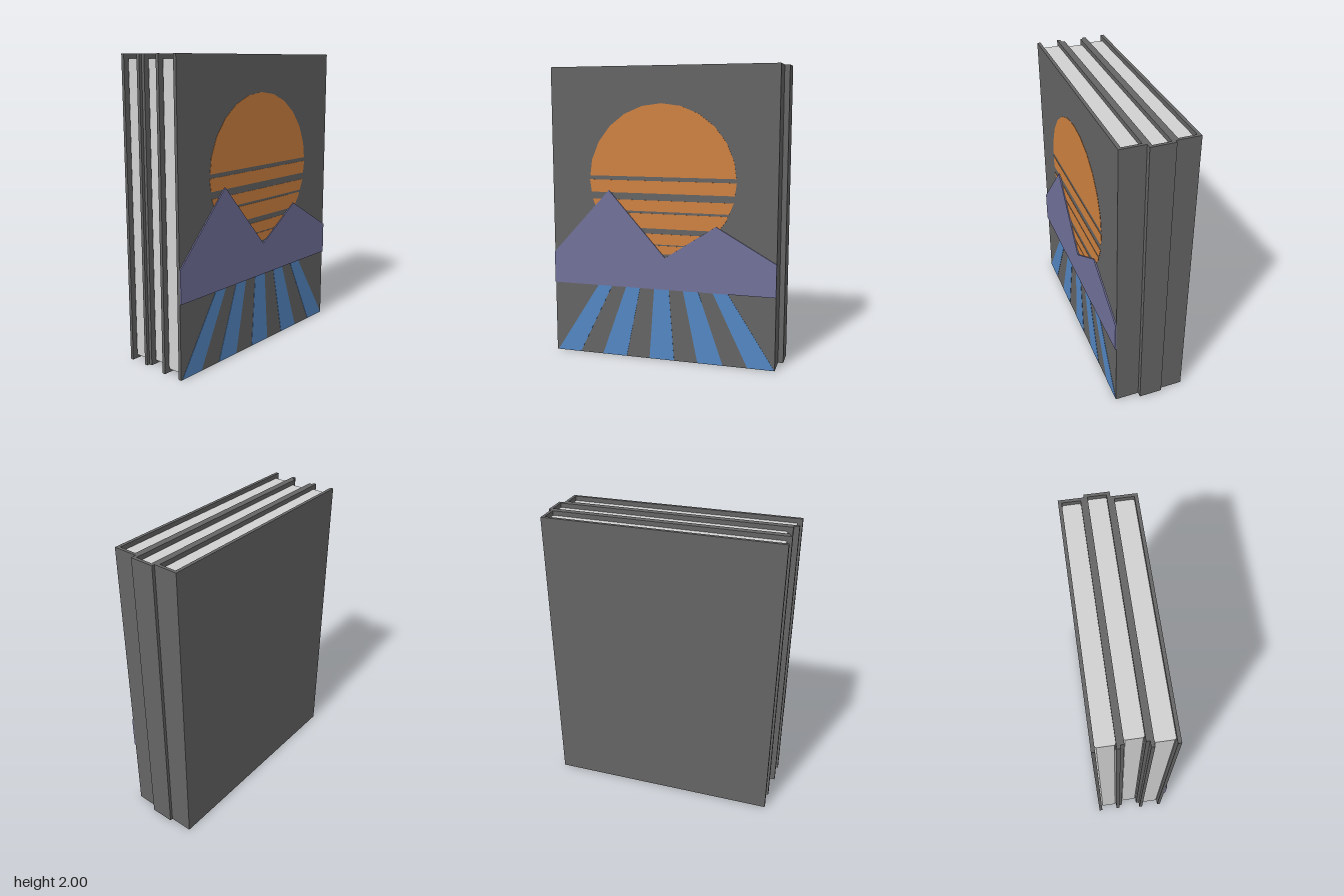
import * as THREE from 'three';

const mat = (name, color) => {
  const m = new THREE.MeshStandardMaterial({ color });
  m.name = name;
  return m;
};

const HEIGHT = 2, BOARD = 0.022, RECESS = 0.03, WIDTH = 1.57;

// Outline [x, y] pushed forward into a thin plate starting at z
function plate(name, points, z, depth, material) {
  const shape = new THREE.Shape(points.map(([x, y]) => new THREE.Vector2(x, y)));
  const geo = new THREE.ExtrudeGeometry(shape, { depth, bevelEnabled: false });
  const mesh = new THREE.Mesh(geo, material);
  mesh.name = name;
  mesh.position.z = z;
  return mesh;
}

// Outline in plan (symmetric in z) raised upwards from y
function upright(name, points, y, height, material) {
  const mesh = plate(name, points, 0, height, material);
  mesh.geometry.rotateX(-Math.PI / 2);
  mesh.position.y = y;
  return mesh;
}

// Hard cover with a spine on +x, and a recessed page block
function book(name, right, back, front, cover, paper) {
  const g = new THREE.Group();
  g.name = name;
  const h = (front - back) / 2, i = h - BOARD, left = -WIDTH, inner = -0.02;
  g.add(upright('cover', [
    [left, -h], [0, -h], [0, h], [left, h],
    [left, i], [inner, i], [inner, -i], [left, -i],
  ], 0, HEIGHT, cover));
  const c = 0.008, pageLeft = left + 0.03;
  g.add(upright('pages', [
    [pageLeft + c, -i], [inner - c, -i], [inner, -i + c], [inner, i - c],
    [inner - c, i], [pageLeft + c, i], [pageLeft, i - c], [pageLeft, -i + c],
  ], RECESS, HEIGHT - 2 * RECESS, paper));
  g.position.set(right, 0, (front + back) / 2);
  return g;
}

// Horizontal slice of a 24-sided disc
function discSlice(cx, cy, r, low, high) {
  const ring = [];
  for (let k = 0; k <= 12; k++) {
    const a = -Math.PI / 2 + (k * Math.PI) / 12;
    ring.push([r * Math.cos(a), cy + r * Math.sin(a)]);
  }
  const halfWidth = (y) => {
    for (let k = 0; k < 12; k++) {
      const [x0, y0] = ring[k], [x1, y1] = ring[k + 1];
      if (y >= y0 && y <= y1) return x0 + ((x1 - x0) * (y - y0)) / (y1 - y0);
    }
    return 0;
  };
  const side = [[halfWidth(low), low]];
  for (const p of ring) if (p[1] > low + 1e-4 && p[1] < high - 1e-4) side.push(p);
  if (high < cy + r) side.push([halfWidth(high), high]);
  else side.push([0, cy + r]);
  const mirrored = side.slice().reverse().filter(([x]) => x > 1e-4).map(([x, y]) => [-x, y]);
  return [...side, ...mirrored].map(([x, y]) => [x + cx, y]);
}

export function createModel() {
  const cover = mat('cover grey', 0x656565);
  const paper = mat('paper', 0xd2d2d2);
  const orange = mat('sun orange', 0xd18341);
  const purple = mat('mountain purple', 0x72729c);
  const blue = mat('ray blue', 0x5488c5);

  const model = new THREE.Group();
  model.name = 'books';
  const FACE = 0.238;
  model.add(book('backBook', 0.78, -0.247, -0.088, cover, paper));
  model.add(book('middleBook', 0.80, -0.088, 0.072, cover, paper));
  model.add(book('frontBook', 0.765, 0.072, FACE, cover, paper));

  // Striped setting sun
  const sun = new THREE.Group();
  sun.name = 'sun';
  const bands = [
    [1.268, 1.755], [1.156, 1.241], [1.034, 1.109],
    [0.918, 1.019], [0.81, 0.882], [0.745, 0.802],
  ];
  for (const [low, high] of bands) {
    sun.add(plate('sunBand', discSlice(-0.017, 1.243, 0.512, low, high), FACE, 0.002, orange));
  }
  model.add(sun);

  // Mountain range
  model.add(plate('mountains', [
    [-0.805, 0.5], [0.765, 0.5], [0.765, 0.72], [0.36, 0.95],
    [0.01, 0.72], [-0.39, 1.17], [-0.805, 0.72],
  ], FACE, 0.009, purple));

  // Rays fanning out below: bottom left, bottom right, top right, top left
  const rays = new THREE.Group();
  rays.name = 'rays';
  const fans = [
    [-0.795, -0.62, -0.377, -0.477], [-0.45, -0.273, -0.171, -0.273],
    [-0.105, 0.072, 0.035, -0.07], [0.238, 0.413, 0.24, 0.135],
    [0.582, 0.763, 0.443, 0.34],
  ];
  for (const [a, b, c, d] of fans) {
    rays.add(plate('ray', [[a, 0.002], [b, 0.002], [c, 0.5], [d, 0.5]], FACE, 0.002, blue));
  }
  model.add(rays);

  return model;
}
